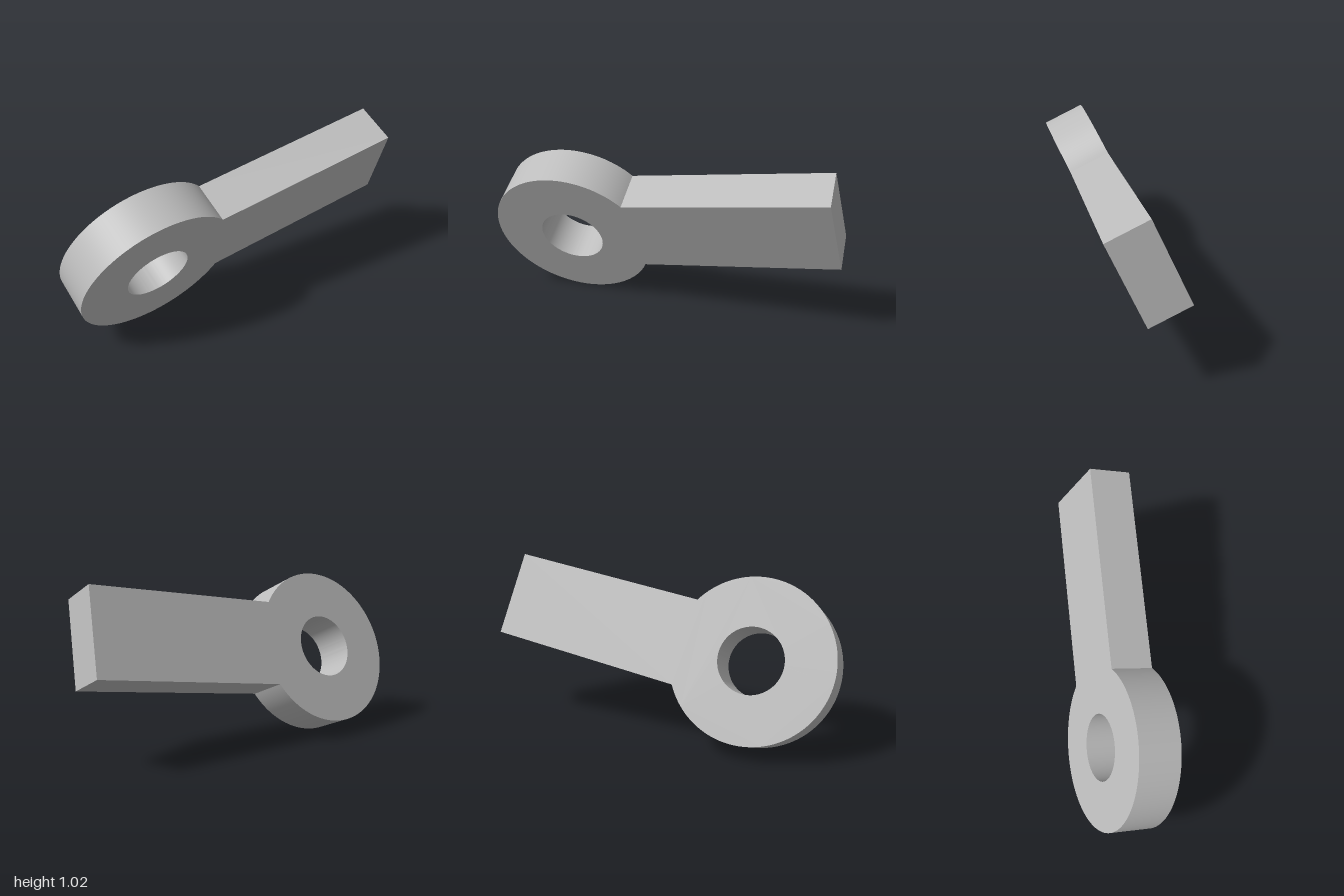
import * as THREE from 'three';
import { toCreasedNormals } from 'three/addons/utils/BufferGeometryUtils.js';

const RING_RADIUS = 0.487;
const HOLE_RADIUS = 0.196;
const ARM_HALF_WIDTH = 0.26;
const ARM_END = 1.62;
const THICKNESS = 0.258;

export function createModel() {
  const group = new THREE.Group();
  group.name = 'eyeLink';

  const grey = new THREE.MeshStandardMaterial({ color: 0xbcbcbc });
  grey.name = 'light grey';

  // Outline: round eye running into a straight arm
  const joint = Math.asin(ARM_HALF_WIDTH / RING_RADIUS);
  const outline = new THREE.Shape();
  outline.moveTo(ARM_END, -ARM_HALF_WIDTH);
  outline.lineTo(ARM_END, ARM_HALF_WIDTH);
  outline.absarc(0, 0, RING_RADIUS, joint, 2 * Math.PI - joint, false);
  outline.closePath();

  // Bore through the eye
  const bore = new THREE.Path();
  bore.absarc(0, 0, HOLE_RADIUS, 0, 2 * Math.PI, true);
  outline.holes.push(bore);

  let geometry = new THREE.ExtrudeGeometry(outline, {
    depth: THICKNESS, bevelEnabled: false, curveSegments: 72,
  });
  geometry.translate(0, 0, -THICKNESS);
  geometry = toCreasedNormals(geometry, 0.4);

  const link = new THREE.Mesh(geometry, grey);
  link.name = 'linkBody';

  // Tilt: arm direction, width direction and front face normal
  const along = new THREE.Vector3(0.8865, 0.148, -0.439).normalize();
  const normal = new THREE.Vector3(0.46, -0.4, 0.793);
  const across = normal.clone().cross(along).normalize();
  normal.crossVectors(along, across);
  link.quaternion.setFromRotationMatrix(new THREE.Matrix4().makeBasis(along, across, normal));
  link.position.set(-0.455, 0.447, 0.366);

  group.add(link);
  return group;
}
